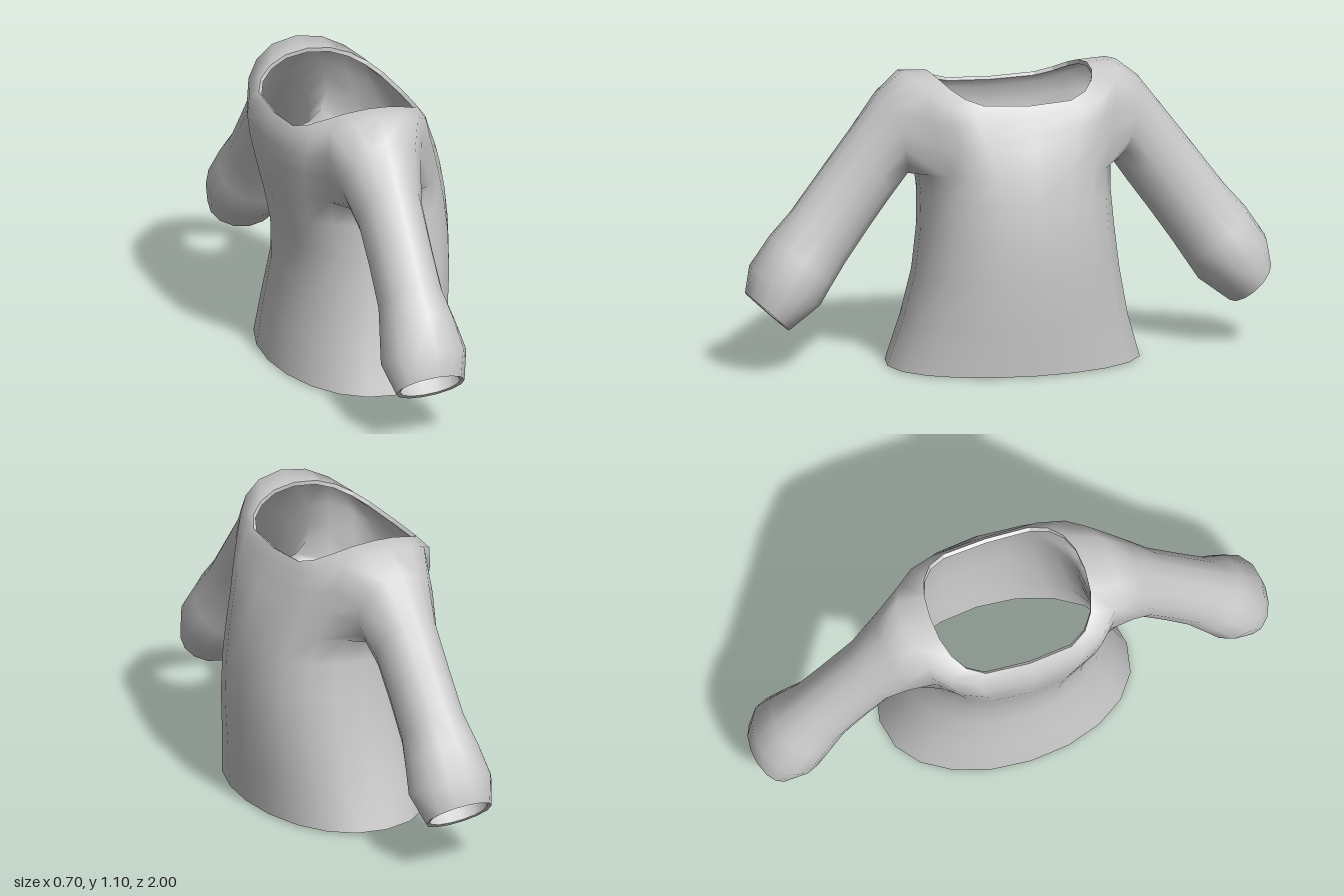
import * as THREE from 'three';

const COLS = 20;
const THICKNESS = 0.016;

// Body rows: y at the centre, extra y at the sides, x min, x max, half depth in z, roundness
const BODY = [
  [0.01, 0, -0.33, 0.32, 0.48, 1],
  [0.18, 0, -0.312, 0.337, 0.425, 1],
  [0.36, 0, -0.28, 0.35, 0.385, 0.95],
  [0.52, 0, -0.284, 0.347, 0.364, 0.9],
  [0.65, 0, -0.31, 0.332, 0.355, 0.85],
  [0.76, -0.02, -0.335, 0.31, 0.36, 0.8],
  [0.85, 0.02, -0.348, 0.278, 0.385, 0.7],
  [0.91, 0.07, -0.349, 0.25, 0.405, 0.65],
  [0.97, 0.132, -0.335, 0.225, 0.41, 0.6],
  [1.005, 0.09, -0.31, 0.205, 0.3, 0.5],
];
const ARM_LOW = 5, ARM_HIGH = 8;

// Sleeve rings: top z, top y, bottom z, bottom y, half width in x
const SLEEVE = [
  [0.495, 1.035, 0.4, 0.72, 0.155],
  [0.6, 0.9, 0.46, 0.635, 0.122],
  [0.72, 0.745, 0.545, 0.52, 0.119],
  [0.83, 0.6, 0.63, 0.4, 0.121],
  [0.91, 0.51, 0.68, 0.325, 0.142],
  [0.985, 0.4, 0.73, 0.25, 0.162],
  [1.0, 0.3, 0.85, 0.16, 0.132],
];

function outerSurface() {
  const pos = [], index = [];
  const quad = (a, d, e, b, flip) =>
    index.push(...(flip ? [a, b, d, d, b, e] : [a, d, b, d, e, b]));
  const at = (r, c) => r * COLS + (c + COLS) % COLS;

  // body rings
  for (const [y, lift, x0, x1, rz, e] of BODY) {
    for (let c = 0; c < COLS; c++) {
      const t = c / COLS * Math.PI * 2, cs = Math.cos(t), sn = Math.sin(t);
      pos.push(
        (x0 + x1) / 2 + (x1 - x0) / 2 * Math.sign(cs) * Math.abs(cs) ** 0.9,
        y + lift * sn * sn,
        rz * Math.sign(sn) * Math.abs(sn) ** e);
    }
  }
  // body faces, leaving the armholes open
  for (let r = 0; r < BODY.length - 1; r++) {
    for (let c = 0; c < COLS; c++) {
      const side = c % 10;
      if (r >= ARM_LOW && r < ARM_HIGH && side >= 3 && side < 7) continue;
      quad(at(r, c), at(r + 1, c), at(r + 1, c + 1), at(r, c + 1));
    }
  }
  // sleeves, each growing from the loop around its armhole
  const loop = [[8, 5], [8, 4], [8, 3], [7, 3], [6, 3], [5, 3], [5, 4],
    [5, 5], [5, 6], [5, 7], [6, 7], [7, 7], [8, 7], [8, 6]];
  const n = loop.length;
  for (const s of [1, -1]) {
    let last = loop.map(([r, c]) => at(r, c * s));
    for (const [tz, ty, bz, by, h] of SLEEVE) {
      const ring = [];
      for (let k = 0; k < n; k++) {
        const a = k / n * Math.PI * 2, u = Math.cos(a) / 2;
        ring.push(pos.length / 3);
        pos.push(-0.06 + h * Math.sin(a), (ty + by) / 2 + (ty - by) * u,
          s * ((tz + bz) / 2 + (tz - bz) * u));
      }
      for (let k = 0; k < n; k++) {
        const m = (k + 1) % n;
        quad(last[k], ring[k], ring[m], last[m], s < 0);
      }
      last = ring;
    }
  }
  const geo = new THREE.BufferGeometry();
  geo.setAttribute('position', new THREE.Float32BufferAttribute(pos, 3));
  geo.setIndex(index);
  geo.computeVertexNormals();
  return geo;
}

// Lining: the same surface moved inwards and turned over
function innerSurface(outer) {
  const geo = outer.clone(), p = geo.attributes.position, nor = outer.attributes.normal;
  for (let i = 0; i < p.count; i++) {
    p.setXYZ(i, p.getX(i) - nor.getX(i) * THICKNESS,
      Math.max(0, p.getY(i) - nor.getY(i) * THICKNESS),
      p.getZ(i) - nor.getZ(i) * THICKNESS);
  }
  geo.setIndex(Array.from(outer.index.array).reverse());
  geo.computeVertexNormals();
  return geo;
}

// Rims: bridge every open edge of the outer surface to the lining
function rimSurface(outer, inner) {
  const idx = outer.index.array, edges = new Set(), pos = [];
  const each = (fn) => {
    for (let i = 0; i < idx.length; i += 3)
      for (let j = 0; j < 3; j++) fn(idx[i + j], idx[i + (j + 1) % 3]);
  };
  each((a, b) => edges.add(a + '_' + b));
  const v = new THREE.Vector3();
  const add = (g, i) => pos.push(...v.fromBufferAttribute(g.attributes.position, i).toArray());
  each((a, b) => {
    if (edges.has(b + '_' + a)) return;
    add(outer, b); add(outer, a); add(inner, a);
    add(outer, b); add(inner, a); add(inner, b);
  });
  const geo = new THREE.BufferGeometry();
  geo.setAttribute('position', new THREE.Float32BufferAttribute(pos, 3));
  geo.computeVertexNormals();
  return geo;
}

export function createModel() {
  const group = new THREE.Group();
  group.name = 'longSleevedTop';
  const material = new THREE.MeshStandardMaterial({ color: 0xcccccc, side: THREE.DoubleSide });
  const outer = outerSurface(), inner = innerSurface(outer);
  const parts = { outerFabric: outer, lining: inner, hemAndCuffRims: rimSurface(outer, inner) };
  for (const [name, geo] of Object.entries(parts)) {
    const mesh = new THREE.Mesh(geo, material);
    mesh.name = name;
    group.add(mesh);
  }
  return group;
}
